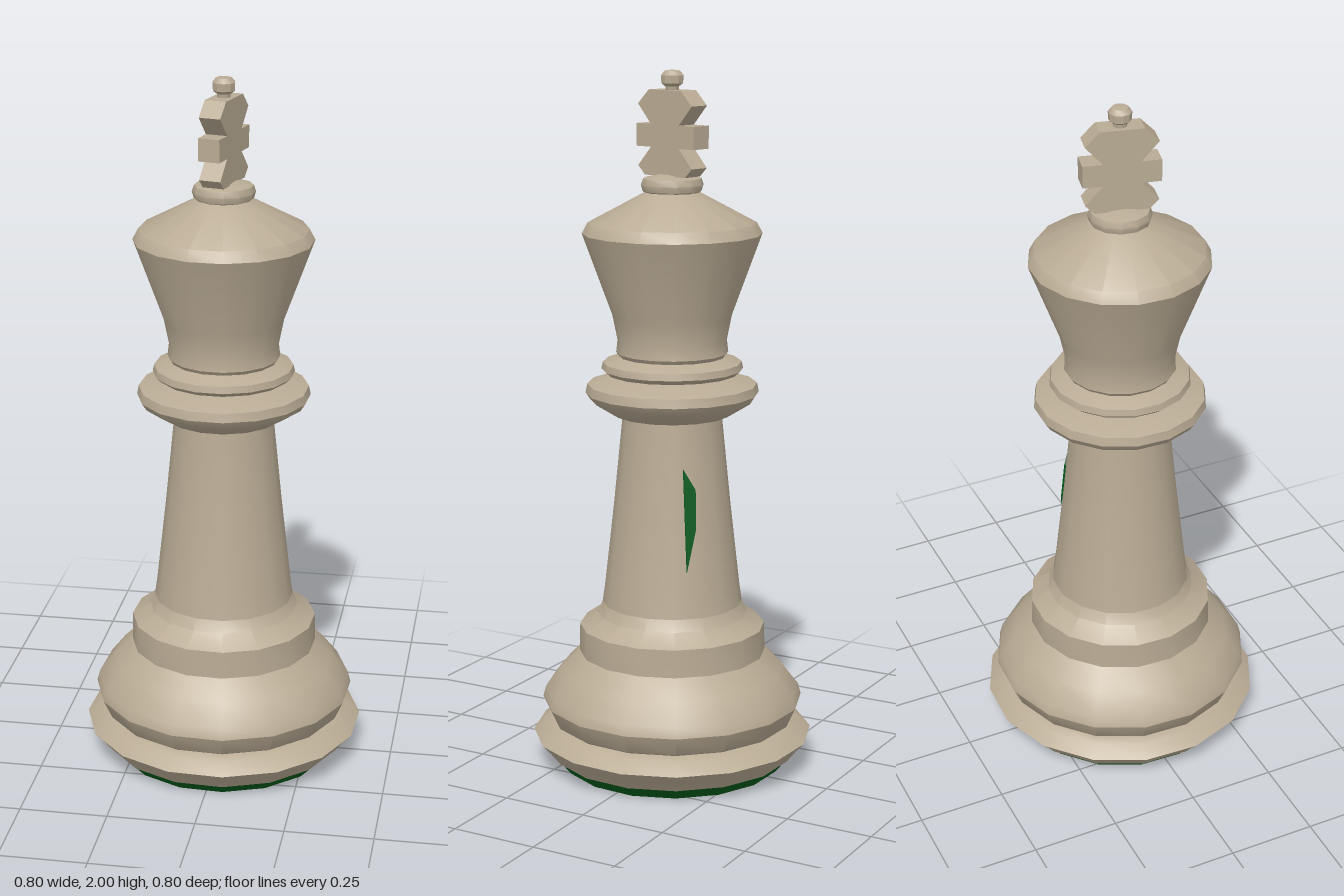
import * as THREE from 'three';
import { toCreasedNormals } from 'three/addons/utils/BufferGeometryUtils.js';

const SIDES = 16;
const TURN = THREE.MathUtils.degToRad(8.5);

export function createModel() {
  const model = new THREE.Group();
  model.name = 'chessKing';
  const wood = new THREE.MeshStandardMaterial({ color: 0xbaac95 });
  wood.name = 'pale wood';
  const felt = new THREE.MeshStandardMaterial({ color: 0x005a1a });
  felt.name = 'green felt';

  // turned part from a [radius, height] profile, listed bottom to top
  function turned(name, profile, material = wood, sides = SIDES) {
    const points = profile.map(([r, y]) => new THREE.Vector2(r, y));
    const geometry = toCreasedNormals(new THREE.LatheGeometry(points, sides, TURN), 0.6);
    const mesh = new THREE.Mesh(geometry, material);
    mesh.name = name;
    model.add(mesh);
    return mesh;
  }

  turned('feltPad', [[0, 0.005], [0.318, 0.005], [0.346, 0.039], [0, 0.04]], felt);

  turned('baseRim', [
    [0.338, 0.039], [0.352, 0.04], [0.38, 0.075], [0.403, 0.1], [0.367, 0.13], [0.345, 0.14], [0, 0.14],
  ]);

  turned('baseBulge', [
    [0.335, 0.135], [0.35, 0.145], [0.375, 0.2], [0.367, 0.23], [0.32, 0.29],
    [0.268, 0.34], [0.266, 0.42], [0.215, 0.455], [0.195, 0.5],
  ]);

  turned('stem', [[0.203, 0.47], [0.193, 0.54], [0.166, 0.78], [0.142, 1.02], [0.14, 1.06]]);

  // narrow green sliver on the back left of the stem
  const sliverShape = new THREE.Shape([
    new THREE.Vector2(-0.012, 0.91), new THREE.Vector2(-0.01, 0.62),
    new THREE.Vector2(0.02, 0.74), new THREE.Vector2(0.022, 0.85),
  ]);
  const sliverGeometry = new THREE.ExtrudeGeometry(sliverShape, { depth: 0.005, bevelEnabled: false });
  // lean the plate with the taper of the stem
  const sliverPosition = sliverGeometry.attributes.position;
  for (let i = 0; i < sliverPosition.count; i++) {
    const y = sliverPosition.getY(i);
    sliverPosition.setZ(i, sliverPosition.getZ(i) + 0.166 - 0.107 * (y - 0.78));
  }
  sliverGeometry.computeVertexNormals();
  const sliver = new THREE.Mesh(sliverGeometry, felt);
  sliver.name = 'stemSliver';
  sliver.rotation.y = Math.PI * 0.75;
  model.add(sliver);

  turned('lowerCollar', [
    [0.13, 1.03], [0.165, 1.038], [0.232, 1.08], [0.245, 1.1], [0.24, 1.125], [0.17, 1.145], [0.13, 1.15],
  ]);

  turned('upperCollar', [
    [0.13, 1.145], [0.185, 1.155], [0.2, 1.168], [0.196, 1.187], [0.155, 1.203], [0.13, 1.21],
  ]);

  turned('crown', [
    [0.14, 1.19], [0.158, 1.215], [0.154, 1.25], [0.168, 1.32],
    [0.252, 1.55], [0.236, 1.58], [0.085, 1.66], [0.07, 1.668],
  ]);

  turned('crownCap', [
    [0.068, 1.66], [0.083, 1.668], [0.088, 1.685], [0.082, 1.703], [0.035, 1.715], [0, 1.716],
  ], wood, 12);

  // flared cross, drawn as one half and mirrored
  const half = [
    [0.075, 1.71], [0.1, 1.735], [0.052, 1.788], [0.107, 1.788],
    [0.107, 1.851], [0.052, 1.851], [0.1, 1.905], [0.06, 1.945],
  ];
  const outline = [...half, ...half.map(([x, y]) => [-x, y]).reverse()];
  const shape = new THREE.Shape(outline.map(([x, y]) => new THREE.Vector2(x, y)));
  const thickness = 0.062;
  const crossGeometry = new THREE.ExtrudeGeometry(shape, { depth: thickness, bevelEnabled: false });
  crossGeometry.translate(0, 0, -thickness / 2);
  const cross = new THREE.Mesh(crossGeometry, wood);
  cross.name = 'cross';
  cross.rotation.y = Math.PI / 2 - 0.23;
  model.add(cross);

  turned('finial', [
    [0.018, 1.94], [0.02, 1.955], [0.031, 1.963], [0.032, 1.985], [0.022, 1.997], [0, 2],
  ], wood, 10);

  return model;
}
